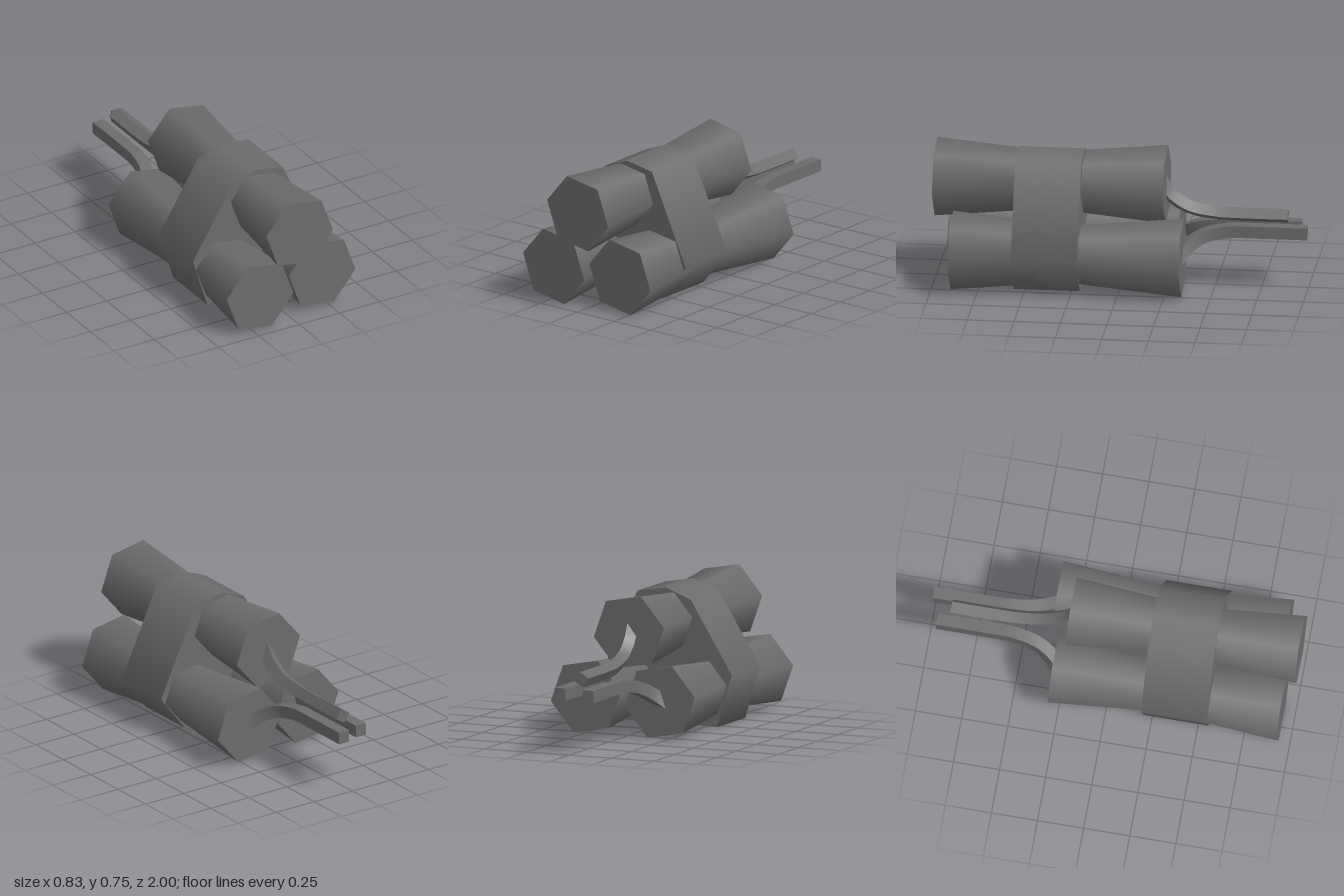
import * as THREE from 'three';
import { toCreasedNormals } from 'three/addons/utils/BufferGeometryUtils.js';

const material = new THREE.MeshStandardMaterial({ color: 0x6c6c6c });

function addMesh(group, name, geometry) {
  const mesh = new THREE.Mesh(geometry, material);
  mesh.name = name;
  group.add(mesh);
  return mesh;
}

// Hexagonal stick along z, pinched at the middle
function stickGeometry(length) {
  const endRadius = 0.21, waist = 0.152;
  const g = new THREE.CylinderGeometry(endRadius, endRadius, length, 6, 2);
  const p = g.attributes.position;
  for (let i = 0; i < p.count; i++) {
    if (Math.abs(p.getY(i)) < 0.01) {
      const k = waist / endRadius;
      p.setXYZ(i, p.getX(i) * k, p.getY(i), p.getZ(i) * k);
    }
  }
  g.rotateX(Math.PI / 2);
  g.rotateZ(THREE.MathUtils.degToRad(20));
  return g;
}

// Band: extruded outline, shaded smoothly around its corners
function bandGeometry(points, depth) {
  const outline = points.map(([x, y]) => new THREE.Vector2(x, y));
  const count = outline.length;
  const cornerNormals = outline.map((c, i) => {
    const before = c.clone().sub(outline[(i + count - 1) % count]).normalize();
    const after = outline[(i + 1) % count].clone().sub(c).normalize();
    const sum = before.add(after).normalize();
    return new THREE.Vector2(sum.y, -sum.x);
  });
  const g = new THREE.ExtrudeGeometry(new THREE.Shape(outline), { depth, bevelEnabled: false });
  const p = g.attributes.position, n = g.attributes.normal;
  for (let i = 0; i < p.count; i++) {
    if (Math.abs(n.getZ(i)) > 0.5) continue;
    const v = new THREE.Vector2(p.getX(i), p.getY(i));
    const corner = outline.findIndex((c) => c.distanceTo(v) < 0.001);
    n.setXYZ(i, cornerNormals[corner].x, cornerNormals[corner].y, 0);
  }
  return g;
}

// Square section swept without twist from the free end; roll turns it about z
function wireGeometry(points, size, roll, steps = 20) {
  const curve = new THREE.CatmullRomCurve3(points.map((p) => new THREE.Vector3(...p)));
  const u = new THREE.Vector3(Math.cos(roll), Math.sin(roll), 0);
  const corners = [[1, 1], [-1, 1], [-1, -1], [1, -1]];
  const pos = [], index = [];
  for (let i = 0; i <= steps; i++) {
    const c = curve.getPoint(i / steps), t = curve.getTangent(i / steps);
    u.addScaledVector(t, -u.dot(t)).normalize();
    const v = t.clone().cross(u);
    for (const [a, b] of corners) {
      const q = c.clone().addScaledVector(u, a * size / 2).addScaledVector(v, b * size / 2);
      pos.push(q.x, q.y, q.z);
    }
    if (i === steps) break;
    for (let j = 0; j < 4; j++) {
      const a = i * 4 + j, b = i * 4 + (j + 1) % 4;
      index.push(a, b, b + 4, a, b + 4, a + 4);
    }
  }
  const e = steps * 4;
  index.push(e, e + 1, e + 2, e, e + 2, e + 3, 0, 2, 1, 0, 3, 2);
  const g = new THREE.BufferGeometry();
  g.setAttribute('position', new THREE.Float32BufferAttribute(pos, 3));
  g.setIndex(index);
  return toCreasedNormals(g, 0.7);
}

export function createModel() {
  const group = new THREE.Group();

  // Three sticks, staggered lengthwise
  const sticks = [
    ['topStick', 0.003, 0.554, 0.38],
    ['rightStick', -0.207, 0.2, 0.32],
    ['leftStick', 0.206, 0.209, 0.273],
  ];
  for (const [name, x, y, z] of sticks) {
    addMesh(group, name, stickGeometry(1.24)).position.set(x, y, z);
  }

  // Band wrapped around the bundle
  const band = bandGeometry([
    [-0.31, 0], [0.235, 0.012], [0.39, 0.212], [0.16, 0.707],
    [-0.01, 0.735], [-0.155, 0.678], [-0.397, 0.285],
  ], 0.355);
  addMesh(group, 'band', band).position.z = 0.203;

  // Wires running together, then curving into the back ends of the sticks
  addMesh(group, 'topWire', wireGeometry([
    [-0.02, 0.392, -0.888], [-0.02, 0.392, -0.65], [-0.018, 0.398, -0.5],
    [-0.008, 0.428, -0.36], [0, 0.495, -0.26], [0.003, 0.59, -0.2],
  ], 0.06, 0.55));
  addMesh(group, 'rightWire', wireGeometry([
    [-0.09, 0.315, -0.955], [-0.09, 0.315, -0.68], [-0.093, 0.313, -0.54],
    [-0.115, 0.29, -0.41], [-0.165, 0.24, -0.315], [-0.23, 0.175, -0.255],
  ], 0.066, 0));
  addMesh(group, 'leftWire', wireGeometry([
    [0.053, 0.325, -1], [0.053, 0.325, -0.72], [0.056, 0.323, -0.58],
    [0.085, 0.3, -0.45], [0.14, 0.25, -0.36], [0.215, 0.18, -0.3],
  ], 0.066, 0));

  return group;
}
